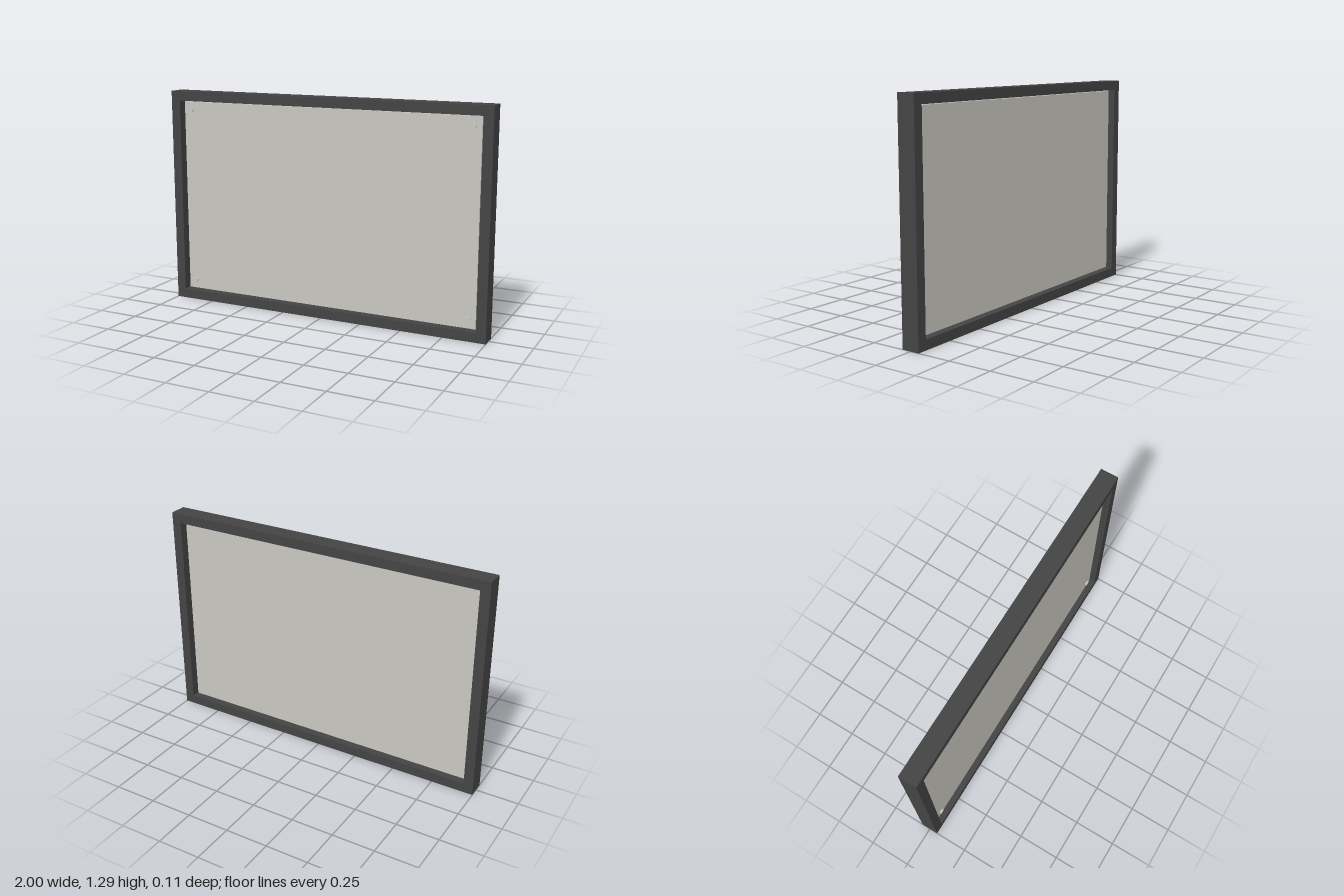
import * as THREE from 'three';

const W = 2, H = 1.295, D = 0.106; // outer size
const BORDER = 0.057;              // width of the frame bars
const GAP = 0.013, GAP_Y = 0.006;  // clearance around the panel
const PANEL_D = 0.036;

export function createModel() {
  const group = new THREE.Group();
  const frameDark = new THREE.MeshStandardMaterial({ color: 0x444444 });
  frameDark.name = 'dark grey frame';
  const panelGrey = new THREE.MeshStandardMaterial({ color: 0xc8c7c0 });
  panelGrey.name = 'warm light grey';

  const add = (name, geometry, material, x, y, z) => {
    const mesh = new THREE.Mesh(geometry, material);
    mesh.name = name;
    mesh.position.set(x, y, z);
    group.add(mesh);
    return mesh;
  };

  // Frame: a rectangle with a rectangular opening
  const rect = (path, x, y) =>
    path.moveTo(-x, -y).lineTo(x, -y).lineTo(x, y).lineTo(-x, y).closePath();
  const outline = rect(new THREE.Shape(), W / 2, H / 2);
  outline.holes.push(rect(new THREE.Path(), W / 2 - BORDER, H / 2 - BORDER));
  add('frame', new THREE.ExtrudeGeometry(outline, { depth: D, bevelEnabled: false }),
    frameDark, 0, H / 2, -D / 2);

  // Panel set into the middle of the frame depth
  const panelW = W - 2 * (BORDER + GAP), panelH = H - 2 * (BORDER + GAP_Y);
  add('panel', new THREE.BoxGeometry(panelW, panelH, PANEL_D), panelGrey, 0, H / 2, 0);

  // Round screw heads in the four front corners
  const screw = new THREE.CylinderGeometry(0.016, 0.016, 0.012, 16).rotateX(Math.PI / 2);
  for (const sx of [-1, 1])
    for (const sy of [-1, 1])
      add('screwHead', screw, panelGrey, sx * 0.884, H / 2 + sy * 0.533, PANEL_D / 2 + 0.004);

  return group;
}
